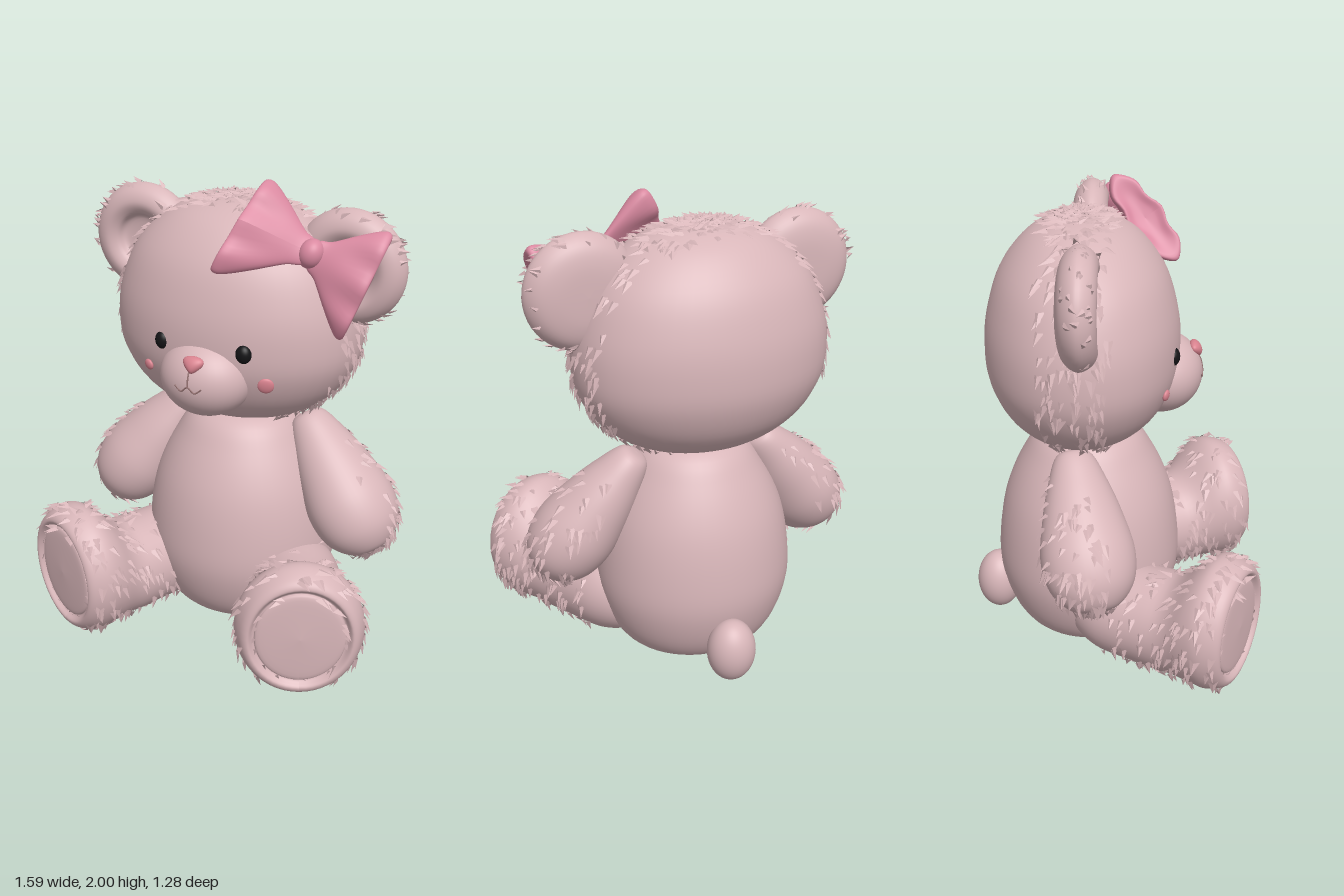
import * as THREE from 'three';

const V = (x, y, z) => new THREE.Vector3(x, y, z);
const material = (name, color) => {
  const m = new THREE.MeshStandardMaterial({ color, side: THREE.DoubleSide });
  m.name = name;
  return m;
};

// Seeded random numbers for the fur
let seed = 7;
const rnd = () => (seed = (seed * 16807) % 2147483647) / 2147483647;

// Smooth turned solid from a few [radius, height] points, listed bottom to top
function turned(points, phi = 0, steps = 44) {
  const curve = new THREE.SplineCurve(points.map(p => new THREE.Vector2(...p)));
  const profile = curve.getPoints(steps).map(p => p.setX(Math.max(0, p.x)));
  return new THREE.LatheGeometry(profile, 48, phi);
}

// Move every vertex by a rule
function reshape(geo, rule, normals = true) {
  const p = geo.attributes.position, v = V();
  for (let i = 0; i < p.count; i++) {
    v.fromBufferAttribute(p, i);
    rule(v);
    p.setXYZ(i, v.x, v.y, v.z);
  }
  if (normals) geo.computeVertexNormals();
  return geo;
}
const ground = geo => reshape(geo, v => { v.y = Math.max(0, v.y); }, false);

// Pointed tufts lying on a surface, wherever the mask allows them
function tufts(geo, count, mask, flow = V(0, -1, 0), length = 0.055) {
  const pos = geo.attributes.position, nor = geo.attributes.normal, idx = geo.index.array;
  const out = [], p = V(), q = V(), n = V(), d = V(), s = V();
  for (let made = 0, tries = 0; made < count && tries < count * 30; tries++) {
    const t = Math.floor(rnd() * idx.length / 3) * 3;
    p.fromBufferAttribute(pos, idx[t]);
    p.lerp(q.fromBufferAttribute(pos, idx[t + 1]), rnd());
    p.lerp(q.fromBufferAttribute(pos, idx[t + 2]), rnd());
    n.fromBufferAttribute(nor, idx[t]);
    if (!mask(p, n)) continue;
    d.copy(flow).add(V(rnd() - 0.5, rnd() - 0.5, rnd() - 0.5).multiplyScalar(0.5));
    d.addScaledVector(n, -d.dot(n));
    if (d.length() < 0.1) continue;
    d.normalize();
    s.crossVectors(n, d).normalize();
    const len = length * (0.7 + 0.6 * rnd());
    const left = p.clone().addScaledVector(s, -len * 0.35).addScaledVector(n, -0.004);
    const right = p.clone().addScaledVector(s, len * 0.35).addScaledVector(n, -0.004);
    const ridge = p.clone().addScaledVector(d, len * 0.1).addScaledVector(n, 0.009);
    const tip = p.clone().addScaledVector(d, len).addScaledVector(n, 0.018);
    for (const c of [left, ridge, tip, ridge, right, tip]) out.push(c.x, Math.max(0, c.y), c.z);
    made++;
  }
  const g = new THREE.BufferGeometry();
  g.setAttribute('position', new THREE.Float32BufferAttribute(out, 3));
  g.computeVertexNormals();
  // Keep the normals on the outer side of the fur
  return g;
}

const ball = (rx, ry, rz) => new THREE.SphereGeometry(1, 40, 28).scale(rx, ry, rz);

export function createModel() {
  const fur = material('dusty pink fur', 0xd8b6b9);
  const ribbon = material('ribbon pink', 0xda8aa1);
  const rose = material('nose and cheek rose', 0xd9838f);
  const black = material('eye black', 0x141416);
  const stitch = material('stitch brown', 0x94706f);

  const model = new THREE.Group();
  model.name = 'teddyBear';
  const add = (name, geo, mat, parent = model) => {
    const mesh = new THREE.Mesh(geo, mat);
    mesh.name = name;
    parent.add(mesh);
    return mesh;
  };

  // Head with a band of fur from ear to ear
  const head = turned([[0, 0.94], [0.25, 0.965], [0.43, 1.07], [0.53, 1.22], [0.55, 1.37], [0.525, 1.52],
    [0.45, 1.68], [0.31, 1.81], [0.15, 1.872], [0, 1.885]], Math.PI);
  head.scale(1, 1, 0.74).translate(-0.03, 0, -0.125);
  add('head', head, fur);
  add('headFur', tufts(head, 520, p => p.z < 0 && p.z > -0.28 && p.y > 0.97), fur);

  // Body
  const body = turned([[0, 0], [0.25, 0.005], [0.36, 0.09], [0.425, 0.27], [0.425, 0.45], [0.385, 0.65],
    [0.3, 0.83], [0.2, 0.95], [0, 1.0]], Math.PI);
  body.scale(1, 1, 0.935).translate(-0.005, 0, -0.11);
  add('body', ground(body), fur);

  // Tail
  add('tail', ground(ball(0.105, 0.14, 0.1).translate(0, 0.13, -0.53)), fur);

  for (const side of [1, -1]) {
    const label = side > 0 ? 'left' : 'right';

    // Ear: thick disc with a hollow in front
    const ear = turned([[0, -0.085], [0.12, -0.08], [0.2, -0.055], [0.24, 0], [0.215, 0.055], [0.165, 0.078],
      [0.12, 0.06], [0.09, 0.022], [0, 0.012]]);
    ear.rotateX(Math.PI / 2).translate(side * 0.47, 1.655, -0.115);
    add(label + 'Ear', ear, fur);
    add(label + 'EarFur', tufts(ear, 50, p => Math.hypot(p.x - side * 0.47, p.y - 1.655) > 0.2,
      V(side, 0.2, 0), 0.04), fur);

    // Arm: slim shoulder, plump paw
    const shoulder = V(side * 0.27, 0.95, -0.16);
    const along = V(side * 0.66, 0.415, -0.045).sub(shoulder);
    const arm = turned([[0, 0], [0.07, 0.02], [0.12, 0.14], [0.16, 0.28], [0.188, 0.44], [0.165, 0.57],
      [0.09, 0.655], [0, 0.675]]);
    arm.scale(0.95, 1, 1.06);
    arm.applyQuaternion(new THREE.Quaternion().setFromUnitVectors(V(0, 1, 0), along.normalize()));
    arm.translate(shoulder.x, shoulder.y, shoulder.z);
    add(label + 'Arm', arm, fur);
    add(label + 'ArmFur', tufts(arm, 110, (p, n) => p.y < 0.88 && n.x * side > 0.1 && n.z < 0.5), fur);

    // Leg and foot in one, with a padded sole; the foot grows taller than the leg
    const leg = turned([[0, -0.16], [0.13, -0.13], [0.2, 0], [0.212, 0.2], [0.222, 0.34], [0.255, 0.44],
      [0.268, 0.52], [0.245, 0.59], [0.215, 0.612], [0.19, 0.588], [0.165, 0.603], [0, 0.612]], 0, 66);
    leg.rotateX(Math.PI / 2);
    reshape(leg, v => {
      const t = THREE.MathUtils.smoothstep(v.z, 0.28, 0.5);
      v.y = Math.max(0, v.y * (1 + 0.11 * t) + 0.215 + 0.077 * t);
    });
    leg.rotateY(side * 0.455).translate(side * 0.3, 0, 0);
    add(label + 'Leg', leg, fur);
    const forward = V(side * 0.44, 0, 0.9);
    add(label + 'LegFur', tufts(leg, 260, (p, n) => p.y > 0.02 && n.dot(forward) < 0.5 &&
      (p.x * side - 0.3) * 0.44 + p.z * 0.9 > 0.02), fur);

    // Eye
    add(label + 'Eye', ball(0.034, 0.04, 0.03).translate(side * 0.183 - 0.017, 1.35, 0.248), black);

    // Cheek spot
    const r = side > 0 ? 0.034 : 0.024;
    const cheek = add(label + 'Cheek', ball(r, r, 0.012), rose);
    cheek.position.set(side > 0 ? 0.25 : -0.285, 1.215, side > 0 ? 0.215 : 0.223);
    cheek.rotation.set(0.15, side * 0.4, 0, 'YXZ');
  }

  // Muzzle, nose and stitched mouth
  const c = V(-0.022, 1.21, 0.2);
  add('muzzle', ball(0.2, 0.17, 0.178).translate(c.x, c.y, c.z), fur);
  const nose = reshape(ball(0.057, 0.036, 0.026), v => { v.x *= 0.72 + v.y * 10; });
  add('nose', nose.rotateX(-0.5).translate(-0.012, 1.308, 0.346), rose);
  const onMuzzle = (x, y) => V(c.x + x, c.y + y,
    c.z + 0.178 * Math.sqrt(1 - (x / 0.2) ** 2 - (y / 0.17) ** 2));
  const stitches = [
    [[0, 0.08], [0, 0.045], [0, 0.01]],
    [[-0.06, 0.008], [-0.03, -0.012], [0, 0.01], [0.03, -0.012], [0.06, 0.008]],
  ];
  for (const line of stitches) {
    const path = new THREE.CatmullRomCurve3(line.map(p => onMuzzle(...p)));
    add('mouth', new THREE.TubeGeometry(path, 20, 0.0035, 6), stitch);
  }

  // Bow: two flared loops from the knot, each set by its end centre and half height
  const bow = new THREE.Group();
  bow.name = 'bow';
  model.add(bow);
  const knot = V(0.365, 1.74, 0.055);
  const loops = [
    ['bowRightLoop', V(0.09, 1.84, 0.13), V(0.06, 0.16, -0.135)],
    ['bowLeftLoop', V(0.585, 1.62, 0.02), V(0.075, 0.21, -0.065)],
  ];
  for (const [name, end, half] of loops) {
    const loop = turned([[0, 0], [0.25, 0.03], [0.36, 0.22], [0.66, 0.52], [0.92, 0.8], [1, 0.95],
      [0.9, 1.03], [0.5, 0.98], [0, 0.95]]);
    // Soft folds fanning out from the knot
    reshape(loop, v => { v.z *= 1 + 0.14 * Math.cos(v.x * 9) * v.y; });
    const axis = end.clone().sub(knot);
    const thick = half.clone().cross(axis).normalize().multiplyScalar(0.075);
    loop.applyMatrix4(new THREE.Matrix4().makeBasis(half, axis, thick).setPosition(knot));
    add(name, loop, ribbon, bow);
  }
  const knotMesh = add('bowKnot', ball(0.052, 0.062, 0.055), ribbon, bow);
  knotMesh.position.copy(knot);
  knotMesh.rotation.z = -0.4;

  return model;
}
